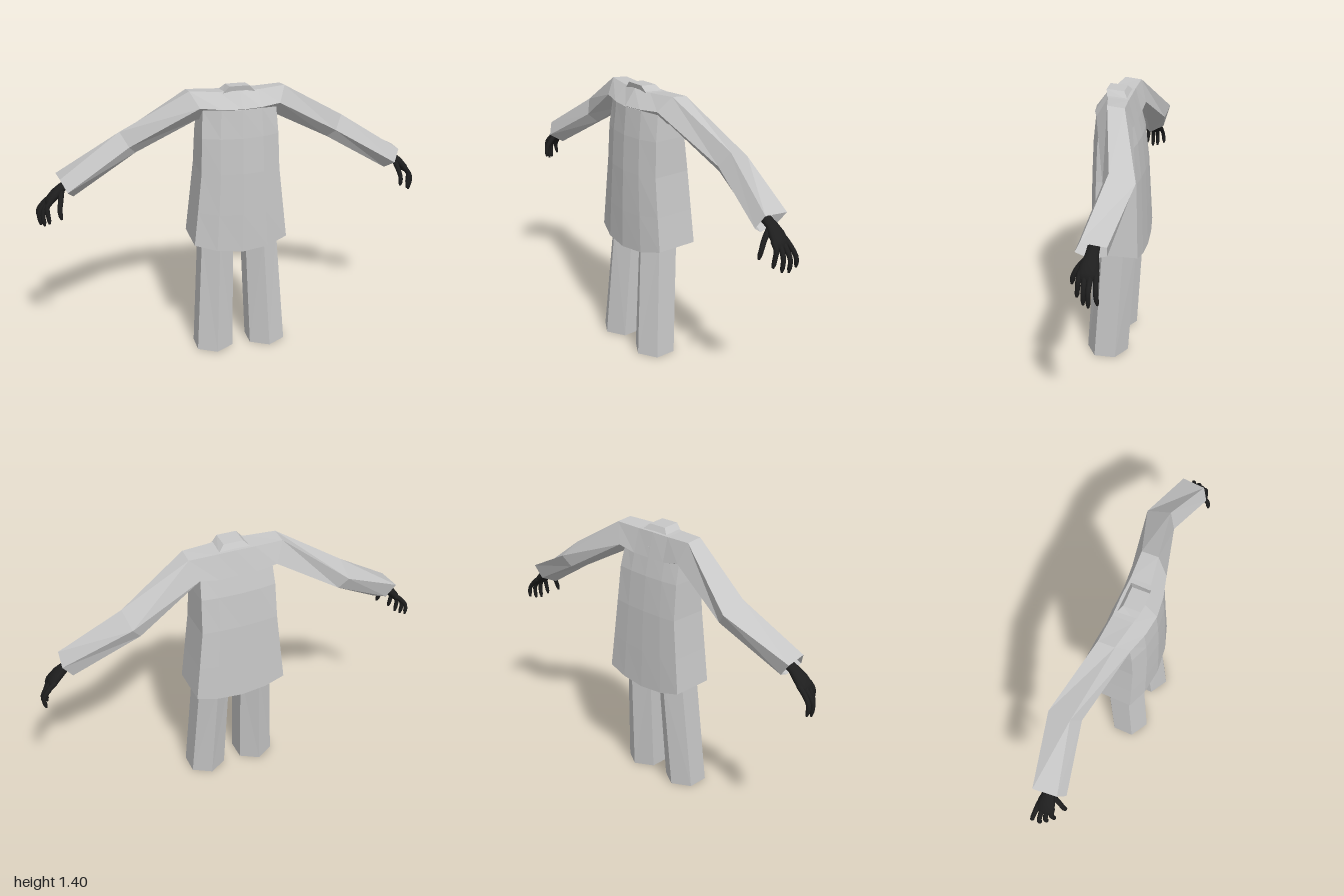
import * as THREE from 'three';

const cloth = new THREE.MeshStandardMaterial({ color: 0xc6c6c6, side: THREE.DoubleSide });
cloth.name = 'grey cloth';
const glove = new THREE.MeshStandardMaterial({ color: 0x1e1e1e });
glove.name = 'black glove';

// Skin a list of equal-length rings of [x, y, z]; faces are turned outward
function loft(name, rings, { flat = true, start = true, end = true, material = cloth } = {}) {
  const n = rings[0].length;
  const pts = rings.flat().map((p) => new THREE.Vector3(...p));
  const tris = [];
  for (let r = 0; r < rings.length - 1; r++) {
    for (let i = 0; i < n; i++) {
      const a = r * n + i, b = r * n + ((i + 1) % n);
      tris.push([a, b, b + n], [a, b + n, a + n]);
    }
  }
  const cap = (first, flip) => {
    const c = new THREE.Vector3();
    for (let i = 0; i < n; i++) c.addScaledVector(pts[first + i], 1 / n);
    const k = pts.push(c) - 1;
    for (let i = 0; i < n; i++) {
      const a = first + i, b = first + ((i + 1) % n);
      tris.push(flip ? [k, b, a] : [k, a, b]);
    }
  };
  if (start) cap(0, true);
  if (end) cap((rings.length - 1) * n, false);
  const mid = new THREE.Vector3();
  pts.forEach((p) => mid.addScaledVector(p, 1 / pts.length));
  const q = pts.map((p) => p.clone().sub(mid));
  const volume = tris.reduce((v, [a, b, c]) => v + q[a].dot(q[b].clone().cross(q[c])), 0);
  if (volume < 0) tris.forEach((t) => t.reverse());
  let geo = new THREE.BufferGeometry().setFromPoints(pts);
  geo.setIndex(tris.flat());
  if (flat) geo = geo.toNonIndexed();
  geo.computeVertexNormals();
  const mesh = new THREE.Mesh(geo, material);
  mesh.name = name;
  return mesh;
}

const mirror = (ring, s) => ring.map(([x, y, z]) => [x * s, y, z]);

// Rounded, tapering finger along a curve through a few points
function finger(name, s, path, radius) {
  const curve = new THREE.CatmullRomCurve3(path.map((p) => new THREE.Vector3(...p)));
  const { normals, binormals } = curve.computeFrenetFrames(8);
  const rings = [];
  for (let k = 0; k <= 8; k++) {
    const c = curve.getPointAt(k / 8);
    const r = radius * (k === 8 ? 0.4 : 1 - 0.035 * k);
    rings.push(Array.from({ length: 8 }, (_, i) => {
      const a = (i / 8) * Math.PI * 2;
      const p = c.clone().addScaledVector(normals[k], r * Math.cos(a)).addScaledVector(binormals[k], r * Math.sin(a));
      return [p.x * s, p.y, p.z];
    }));
  }
  return loft(name, rings, { flat: false, material: glove });
}

function hand(s) {
  const group = new THREE.Group();
  group.name = s > 0 ? 'leftHand' : 'rightHand';
  // Palm: ellipses from the wrist to the knuckles [x, y, z, half thickness, half width]
  const sections = [
    [0.83, 0.955, -0.03, 0.022, 0.028], [0.87, 0.935, -0.03, 0.022, 0.03],
    [0.905, 0.905, -0.027, 0.024, 0.042], [0.935, 0.873, -0.027, 0.021, 0.046],
    [0.95, 0.855, -0.027, 0.012, 0.04],
  ];
  const rings = sections.map(([x, y, z, t, w]) => Array.from({ length: 12 }, (_, i) => {
    const a = (i / 12) * Math.PI * 2;
    const d = t * Math.cos(a) * 0.707;
    return [(x + d) * s, y + d, z + w * Math.sin(a)];
  }));
  group.add(loft('palm', rings, { flat: false, material: glove }));
  // Four fingers: [tip x, tip y, knuckle z, tip z]
  [[0.945, 0.768, 0.008, 0.022], [0.968, 0.747, -0.015, -0.01],
    [0.985, 0.745, -0.038, -0.036], [0.988, 0.762, -0.06, -0.076]].forEach(([x, y, z0, z1], i) => {
    group.add(finger('finger' + (i + 1), s, [
      [0.925, 0.883, z0], [0.95 + i * 0.004, 0.852, z0 * 0.7 + z1 * 0.3],
      [x + 0.004, 0.81, z0 * 0.35 + z1 * 0.65], [x, y, z1],
    ], 0.0135));
  });
  group.add(finger('thumb', s, [
    [0.875, 0.922, -0.012], [0.885, 0.88, 0.025], [0.893, 0.84, 0.047], [0.888, 0.798, 0.056],
  ], 0.0145));
  return group;
}

export function createModel() {
  const model = new THREE.Group();
  model.name = 'coatFigure';

  // Coat body: [y, half width, front z, front corner z, back corner z, back z, centre drop]
  const body = [
    [0.602, 0.242, 0.152, 0.1, -0.12, -0.135, 0.037],
    [0.78, 0.222, 0.15, 0.098, -0.113, -0.128, 0.015],
    [0.98, 0.2, 0.146, 0.095, -0.105, -0.118, 0],
    [1.16, 0.194, 0.137, 0.088, -0.085, -0.1, 0],
    [1.3, 0.185, 0.124, 0.07, -0.05, -0.068, 0],
  ].map(([y, w, f, fc, bc, b, drop]) => {
    const fm = f * 0.72 + fc * 0.28, bm = b * 0.72 + bc * 0.28;
    return [
      [w, y, fc], [w * 0.55, y - drop * 0.72, fm], [0, y - drop, f], [-w * 0.55, y - drop * 0.72, fm], [-w, y, fc],
      [-w, y, bc], [-w * 0.55, y - drop * 0.72, bm], [0, y - drop, b], [w * 0.55, y - drop * 0.72, bm], [w, y, bc],
    ];
  });
  model.add(loft('coatBody', body));

  // Shoulders and sleeves: one five-sided tube from cuff to cuff
  // Corner order: top front, top back, low back, bottom, front
  const cuff = [[0.88, 0.992, 0.02], [0.892, 0.985, -0.1], [0.845, 0.92, -0.09], [0.82, 0.886, -0.015], [0.85, 0.93, 0.05]];
  const elbow = [[0.575, 1.187, -0.045], [0.562, 1.14, -0.163], [0.52, 1.085, -0.14], [0.5, 1.075, -0.045], [0.535, 1.115, -0.008]];
  const shoulder = [[0.24, 1.384, 0.028], [0.24, 1.375, -0.055], [0.2, 1.27, -0.085], [0.2, 1.236, 0.01], [0.2, 1.312, 0.088]];
  const neckSide = [[0.1, 1.378, 0.052], [0.1, 1.37, -0.048], [0.1, 1.25, -0.08], [0.1, 1.24, 0.01], [0.1, 1.306, 0.116]];
  const centre = [[0, 1.382, 0.07], [0, 1.372, -0.05], [0, 1.25, -0.08], [0, 1.24, 0.01], [0, 1.304, 0.128]];
  const half = [cuff, elbow, shoulder, neckSide];
  model.add(loft('shouldersAndSleeves',
    [...half, centre, ...half.map((r) => mirror(r, -1)).reverse()], { start: false, end: false }));

  // Short collar
  model.add(loft('collar', [
    [[0.088, 1.365, 0.06], [-0.088, 1.365, 0.06], [-0.085, 1.365, -0.04], [0.085, 1.365, -0.04]],
    [[0.05, 1.405, 0.068], [-0.05, 1.405, 0.068], [-0.05, 1.398, -0.018], [0.05, 1.398, -0.018]],
  ]));

  // Six-sided trouser legs and hands, mirrored
  const hexagon = (x, y, z, rx, rz) => Array.from({ length: 6 }, (_, i) => {
    const a = (i / 6) * Math.PI * 2;
    return [x + (rx * Math.sin(a)) / 0.866, y, z + rz * Math.cos(a)];
  });
  for (const s of [1, -1]) {
    const rings = [hexagon(0.143, 0, 0.053, 0.094, 0.109), hexagon(0.115, 0.61, 0.014, 0.083, 0.108)];
    model.add(loft(s > 0 ? 'leftTrouserLeg' : 'rightTrouserLeg', rings.map((r) => mirror(r, s))));
    model.add(hand(s));
  }
  return model;
}
